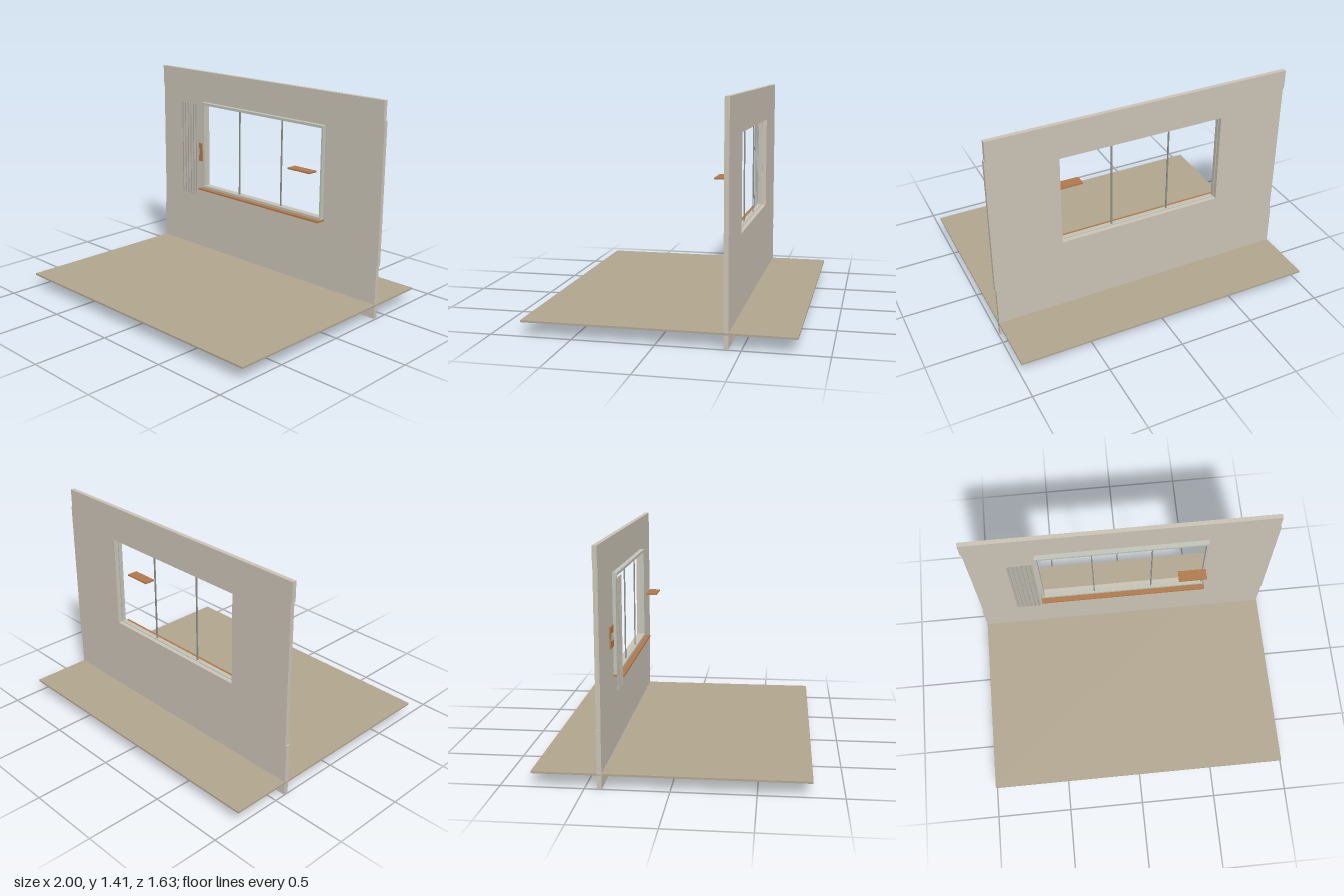
import * as THREE from 'three';

const paint = (color) => new THREE.MeshStandardMaterial({ color });
const wallPaint = paint(0xc9c2b4);
const floorPaint = paint(0xb0a58e);
const trimPaint = paint(0xbfc2b6);
const slatPaint = paint(0xb8b5aa);
const barPaint = paint(0x8f9088);
const wood = paint(0xb0784a);

// Box given by its minimum and maximum on each axis
function slab(name, [x0, x1], [y0, y1], [z0, z1], material) {
  const mesh = new THREE.Mesh(new THREE.BoxGeometry(x1 - x0, y1 - y0, z1 - z0), material);
  mesh.position.set((x0 + x1) / 2, (y0 + y1) / 2, (z0 + z1) / 2);
  mesh.name = name;
  return mesh;
}

const points = (list) => list.map(([x, y]) => new THREE.Vector2(x, y));

function createWall() {
  // Outline with slightly offset middle band, and the window opening
  const shape = new THREE.Shape(points([
    [-1, 0], [0.99, 0], [0.99, 0.355], [0.998, 0.355], [0.998, 1.29], [0.99, 1.29],
    [0.99, 1.415], [-1, 1.415], [-1, 1.29], [-0.992, 1.29], [-0.992, 0.355], [-1, 0.355],
  ]));
  shape.holes.push(new THREE.Path(points([
    [-0.545, 0.58], [-0.545, 1.185], [0.545, 1.185], [0.545, 0.58],
  ])));
  const wall = new THREE.Mesh(
    new THREE.ExtrudeGeometry(shape, { depth: 0.028, bevelEnabled: false }), wallPaint);
  wall.position.z = -0.425;
  wall.name = 'wall';
  return wall;
}

function createWindow() {
  const group = new THREE.Group();
  group.name = 'window';
  const back = -0.397;
  group.add(
    slab('headRail', [-0.557, 0.552], [1.18, 1.197], [back, -0.366], trimPaint),
    slab('bottomRail', [-0.557, 0.552], [0.568, 0.584], [back, -0.366], trimPaint),
    slab('leftJamb', [0.537, 0.55], [0.584, 1.18], [back, -0.37], trimPaint),
    slab('rightJamb', [-0.555, -0.541], [0.584, 1.18], [back, -0.37], trimPaint),
    slab('sill', [-0.563, 0.559], [0.557, 0.568], [back, -0.331], wood),
  );
  // Two upright bars divide the opening into three lights
  for (const x of [-0.197, 0.192]) {
    group.add(slab('mullion', [x - 0.004, x + 0.004], [0.584, 1.18], [-0.388, -0.38], barPaint));
  }
  return group;
}

function createBlind() {
  // Gathered upright slats, each turned a little
  const group = new THREE.Group();
  group.name = 'blind';
  const count = 12;
  for (let i = 0; i < count; i++) {
    const slat = new THREE.Mesh(new THREE.BoxGeometry(0.013, 0.676, 0.004), slatPaint);
    slat.position.set(-0.73 + (i * 0.153) / (count - 1), 0.851, -0.341);
    slat.rotation.y = i % 2 ? 0.45 : -0.25;
    slat.name = 'slat';
    group.add(slat);
  }
  return group;
}

function createPicture() {
  // Small wooden plaque on the wall behind the blind
  const group = new THREE.Group();
  group.name = 'picture';
  group.add(
    slab('pictureBoard', [-0.682, -0.585], [0.755, 0.888], [-0.397, -0.388], wood),
    slab('picturePanel', [-0.655, -0.612], [0.80, 0.845], [-0.388, -0.385], trimPaint),
  );
  return group;
}

export function createModel() {
  const model = new THREE.Group();
  model.name = 'roomCorner';
  model.add(
    slab('floor', [-1, 0.992], [0.083, 0.095], [-0.816, 0.816], floorPaint),
    createWall(),
    createWindow(),
    createBlind(),
    createPicture(),
    slab('shelf', [0.358, 0.542], [0.899, 0.909], [-0.328, -0.256], wood),
  );
  return model;
}
